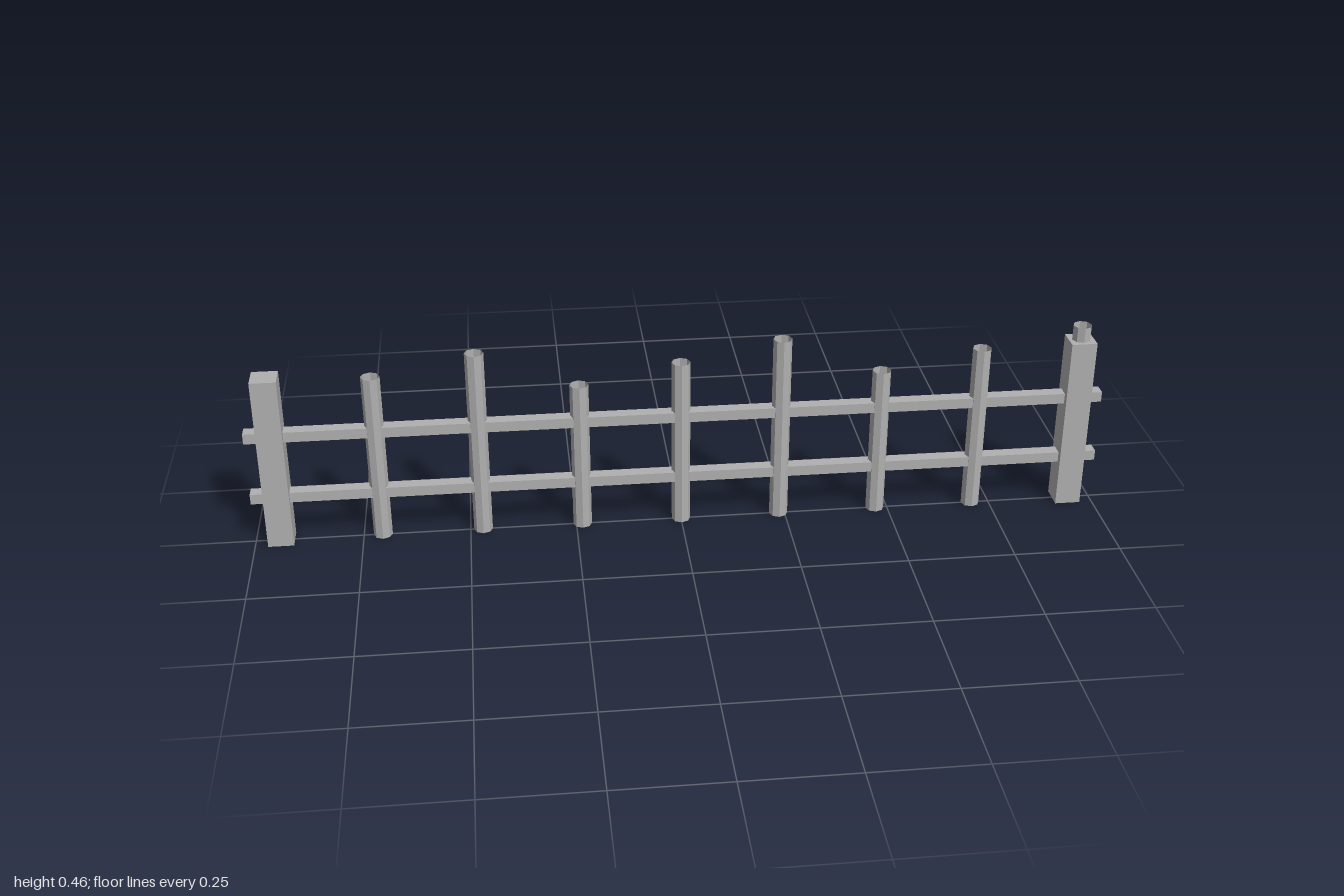
import * as THREE from 'three';

export function createModel() {
  const fence = new THREE.Group();
  fence.name = 'fence';
  const grey = new THREE.MeshStandardMaterial({ color: 0xb0b0b0, flatShading: true, side: THREE.DoubleSide });
  grey.name = 'grey metal';

  const add = (name, geometry, x, y) => {
    const mesh = new THREE.Mesh(geometry, grey);
    mesh.name = name;
    mesh.position.set(x, y, 0);
    fence.add(mesh);
  };

  // Square end posts
  for (const side of [-1, 1]) {
    add(side > 0 ? 'leftPost' : 'rightPost', new THREE.BoxGeometry(0.06, 0.424, 0.06), side * 0.94, 0.212);
  }

  // Horizontal rails running through the posts
  add('lowerRail', new THREE.BoxGeometry(2, 0.025, 0.03), 0, 0.12);
  add('upperRail', new THREE.BoxGeometry(2, 0.025, 0.03), 0, 0.277);

  // Open eight-sided bars in three repeating heights; the last rises out of the left post
  const heights = [0.413, 0.46, 0.368];
  for (let i = 0; i < 8; i++) {
    const h = heights[i % 3];
    const x = -0.705 + i * 0.235;
    add('bar' + (i + 1), new THREE.CylinderGeometry(0.022, 0.022, h, 8, 1, true), x, h / 2);
    // Small ring where the bar meets the lower rail
    if (i < 7) add('joint' + (i + 1), new THREE.TorusGeometry(0.022, 0.005, 6, 12), x, 0.12);
  }
  return fence;
}
